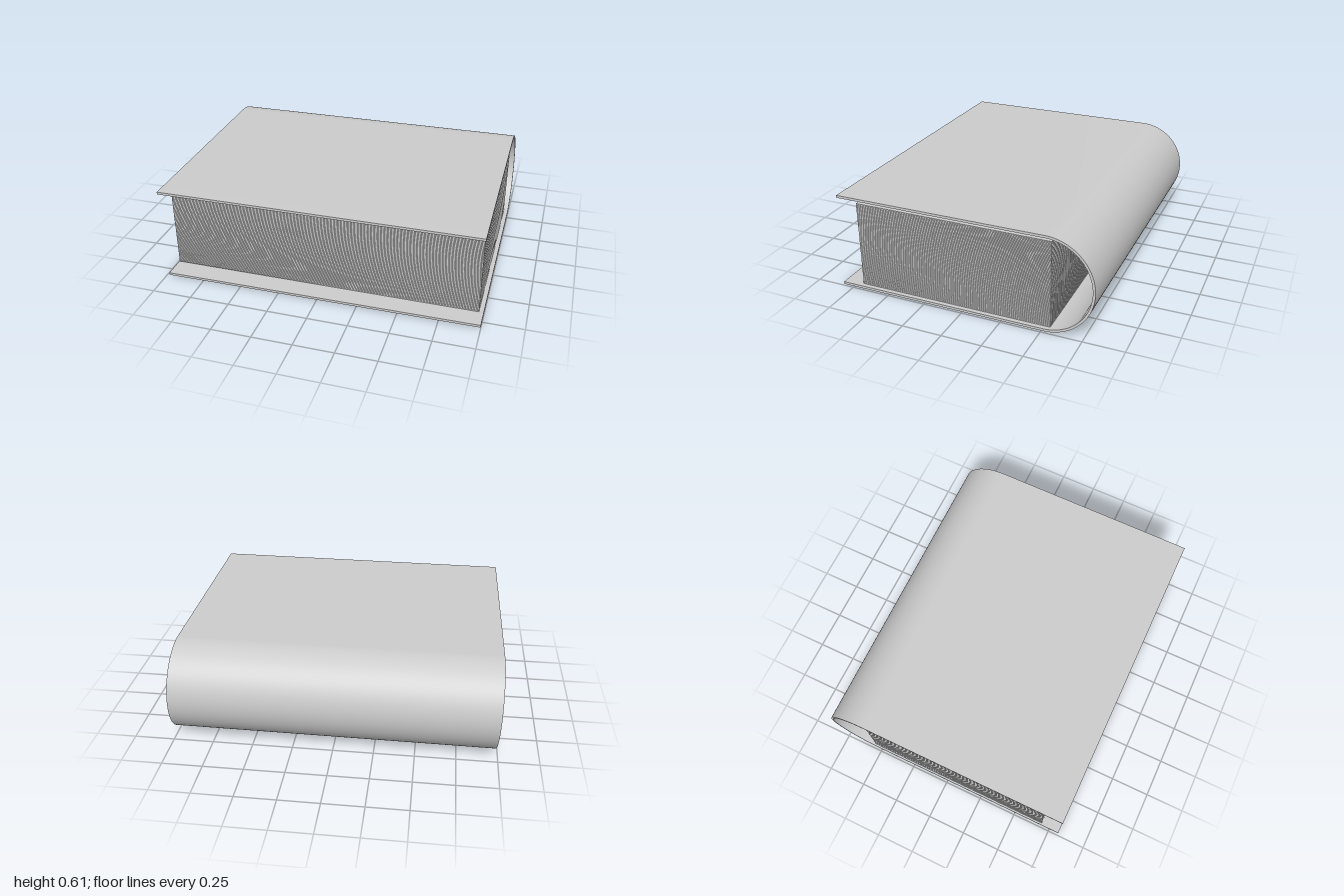
import * as THREE from 'three';
import { toCreasedNormals } from 'three/addons/utils/BufferGeometryUtils.js';

const material = new THREE.MeshStandardMaterial({ color: 0xcccccc });

// One continuous U-shaped cover: two boards joined by a half-round spine
function createCover() {
  const front = 0.815, spineZ = -0.515, midY = 0.305, outer = 0.3, inner = 0.2845;
  const width = 1.985;

  const profile = new THREE.Shape();
  profile.moveTo(front, midY - outer);
  profile.lineTo(spineZ, midY - outer);
  profile.absarc(spineZ, midY, outer, -Math.PI / 2, -Math.PI * 1.5, true);
  profile.lineTo(front, midY + outer);
  profile.lineTo(front, midY + inner);
  profile.lineTo(spineZ, midY + inner);
  profile.absarc(spineZ, midY, inner, Math.PI / 2, Math.PI * 1.5, false);
  profile.lineTo(front, midY - inner);
  profile.closePath();

  let geometry = new THREE.ExtrudeGeometry(profile, { depth: width, bevelEnabled: false, curveSegments: 32 });
  geometry.translate(0, 0, -width / 2);
  geometry.rotateY(-Math.PI / 2);

  // The cover sits very slightly askew
  const p = geometry.attributes.position;
  for (let i = 0; i < p.count; i++) {
    const x = p.getX(i), y = p.getY(i);
    p.setXY(i, x - 0.0235 * (y - midY), y + 0.005 * x);
  }
  geometry = toCreasedNormals(geometry, Math.PI / 6);

  const cover = new THREE.Mesh(geometry, material);
  cover.name = 'cover';
  return cover;
}

// A stack of thin sheets with narrow gaps between them
function createPages() {
  const count = 80, bottom = 0.026, top = 0.575;
  const pitch = (top - bottom) / count;
  const thickness = pitch * 0.75;
  const sheet = new THREE.BoxGeometry(1.946, thickness, 1.24);

  const pages = new THREE.Group();
  pages.name = 'pages';
  for (let i = 0; i < count; i++) {
    const page = new THREE.Mesh(sheet, material);
    page.name = 'page';
    page.position.set(-0.002, bottom + thickness / 2 + i * pitch, 0.07);
    pages.add(page);
  }
  return pages;
}

export function createModel() {
  const book = new THREE.Group();
  book.name = 'book';
  book.add(createCover(), createPages());
  return book;
}
